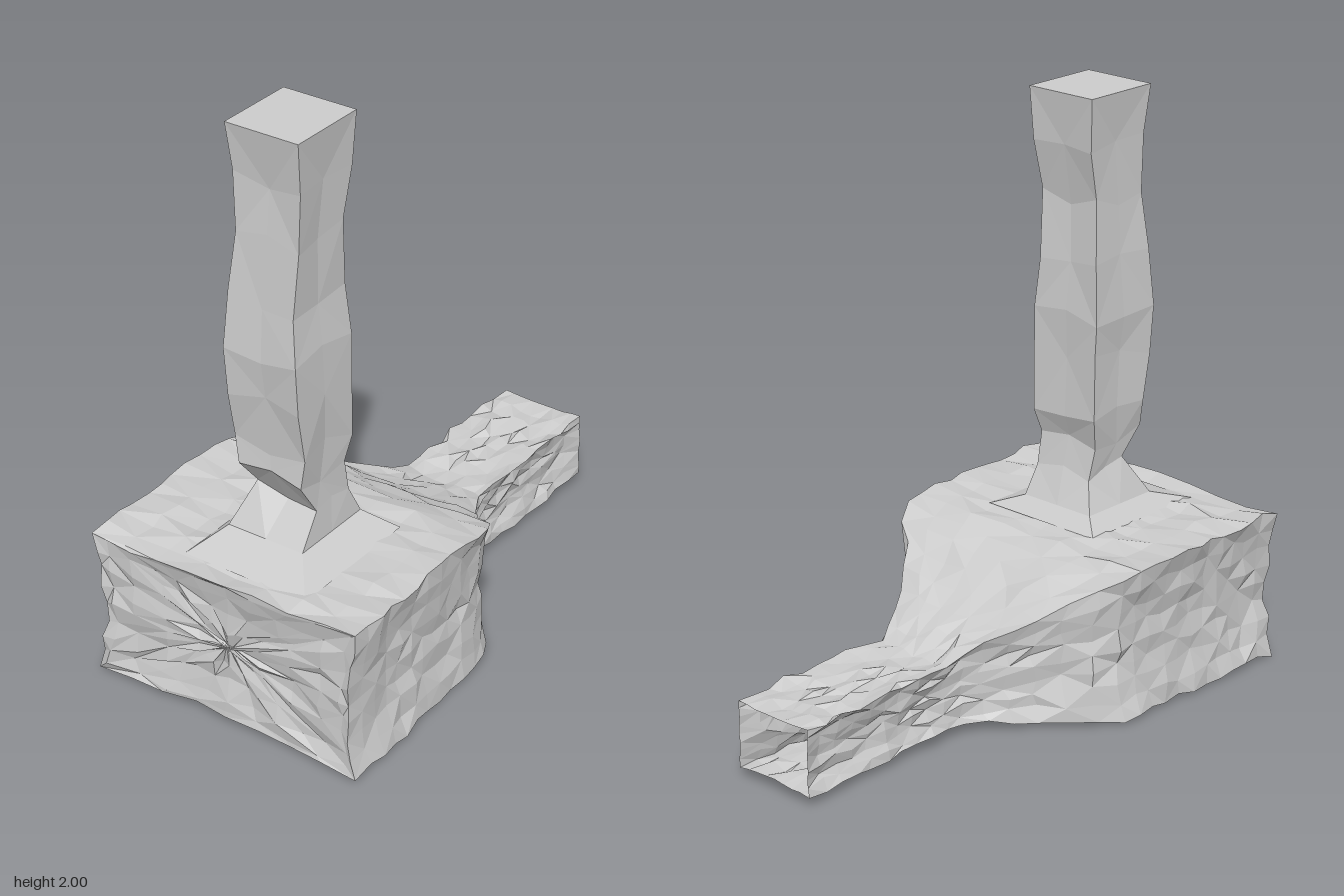
import * as THREE from 'three';

const material = new THREE.MeshStandardMaterial({ color: 0xcccccc, flatShading: true, side: THREE.DoubleSide });

// Repeatable noise in -1..1
const noise = (a, b, c) => {
  const s = Math.sin(a * 12.99 + b * 78.23 + c * 37.72) * 43758.55;
  return 2 * (s - Math.floor(s)) - 1;
};

// Interpolates rows whose first entry is the key
function sample(rows, t) {
  let i = 0;
  while (i < rows.length - 2 && t > rows[i + 1][0]) i++;
  const a = rows[i], b = rows[i + 1];
  const k = THREE.MathUtils.clamp((t - a[0]) / (b[0] - a[0]), 0, 1);
  return a.map((v, j) => v + (b[j] - v) * k);
}

// Joins closed rings of equal length with triangles
function loft(name, rings) {
  const n = rings[0].length, index = [];
  for (let i = 0; i < rings.length - 1; i++) {
    for (let j = 0; j < n; j++) {
      const a = i * n + j, b = i * n + (j + 1) % n, c = a + n, d = b + n;
      if ((i + j) % 2) index.push(a, b, d, a, d, c);
      else index.push(a, b, c, b, d, c);
    }
  }
  const geometry = new THREE.BufferGeometry();
  geometry.setAttribute('position', new THREE.Float32BufferAttribute(rings.flat(2), 3));
  geometry.setIndex(index);
  geometry.computeVertexNormals();
  const mesh = new THREE.Mesh(geometry, material);
  mesh.name = name;
  return mesh;
}

// Unit square outline, side by side, running from +y towards +z
function squareOutline(n) {
  const points = [];
  for (let s = 0; s < 4; s++) {
    for (let i = 0; i < n; i++) {
      const u = -1 + 2 * i / n;
      points.push([[1, u], [-u, 1], [-1, -u], [u, -1]][s]);
    }
  }
  return points;
}

// Wide chamber narrowing into an open duct: x, bottom, top, back z, front z
const hull = [
  [-0.93, 0.015, 0.54, -0.515, 0.51],
  [-0.5, 0.015, 0.54, -0.515, 0.50],
  [-0.2, 0.015, 0.53, -0.51, 0.49],
  [-0.12, 0.02, 0.49, -0.47, 0.46],
  [0.0, 0.02, 0.42, -0.34, 0.33],
  [0.1, 0.03, 0.35, -0.26, 0.25],
  [0.2, 0.04, 0.31, -0.18, 0.2],
  [0.3, 0.04, 0.275, -0.165, 0.15],
  [0.93, 0.035, 0.27, -0.165, 0.15],
];

function hullRing(x, scale, seed) {
  const [, y0, y1, z0, z1] = sample(hull, x);
  const end = x > 0.9;
  const rough = end ? 0.003 : 0.011;
  return squareOutline(8).map(([v, w], j) => {
    const sideDent = Math.abs(w) === 1 ? 0.03 * (1 - v * v) : 0;
    const topDent = Math.abs(v) === 1 ? 0.01 * (1 - w * w) : 0;
    const y = (y0 + y1) / 2 + v * scale * ((y1 - y0) / 2 - topDent);
    const z = (z0 + z1) / 2 + w * scale * ((z1 - z0) / 2 - (end ? 0.1 : 1) * sideDent);
    return [
      x + (end ? 0.935 - x : rough * noise(seed, j, 1)),
      Math.max(0, y + rough * noise(seed, j, 2)),
      z + rough * noise(seed, j, 3),
    ];
  });
}

function makeHull() {
  const rings = [];
  // Sunken end wall, from its middle out to the rim
  [0, 0.25, 0.5, 0.75, 0.93].forEach((k, i) => {
    rings.push(hullRing(-0.93 + 0.03 * (1 - k * k), k, i));
  });
  const steps = 27;
  for (let i = 0; i <= steps; i++) rings.push(hullRing(-0.93 + 1.86 * i / steps, 1, 10 + i));
  return loft('chamberAndDuct', rings);
}

// Crooked square column: y, left x, right x, back z, front z
const column = [
  [0.53, -0.85, -0.34, -0.21, 0.26],
  [0.58, -0.70, -0.39, -0.15, 0.14],
  [0.70, -0.61, -0.44, -0.10, 0.13],
  [0.80, -0.69, -0.46, -0.11, 0.13],
  [0.90, -0.68, -0.43, -0.13, 0.14],
  [1.10, -0.71, -0.43, -0.13, 0.14],
  [1.25, -0.72, -0.43, -0.135, 0.14],
  [1.42, -0.70, -0.435, -0.125, 0.12],
  [1.63, -0.68, -0.455, -0.105, 0.13],
  [1.82, -0.68, -0.42, -0.11, 0.14],
  [2.00, -0.70, -0.41, -0.12, 0.15],
];

function columnRing([y, x0, x1, z0, z1], seed, scale = 1) {
  const rough = y > 1.95 || y < 0.6 ? 0 : 1;
  return squareOutline(2).map(([u, w], j) => {
    const dent = u * w === 0 ? 1 - rough * (0.06 + 0.06 * noise(seed, j, 4)) : 1;
    return [
      (x0 + x1) / 2 + u * scale * dent * (x1 - x0) / 2,
      y + rough * 0.03 * noise(seed, j, 5),
      (z0 + z1) / 2 + w * scale * dent * (z1 - z0) / 2,
    ];
  });
}

function makeColumn() {
  const rings = column.map((row, i) => columnRing(row, i));
  // Flat cap
  rings.push(columnRing(column[column.length - 1], 20, 0));
  // Reverse each ring so the faces point outwards
  return loft('column', rings.map((ring) => ring.reverse()));
}

export function createModel() {
  const group = new THREE.Group();
  group.name = 'chamberWithColumn';
  group.add(makeHull(), makeColumn());
  return group;
}
